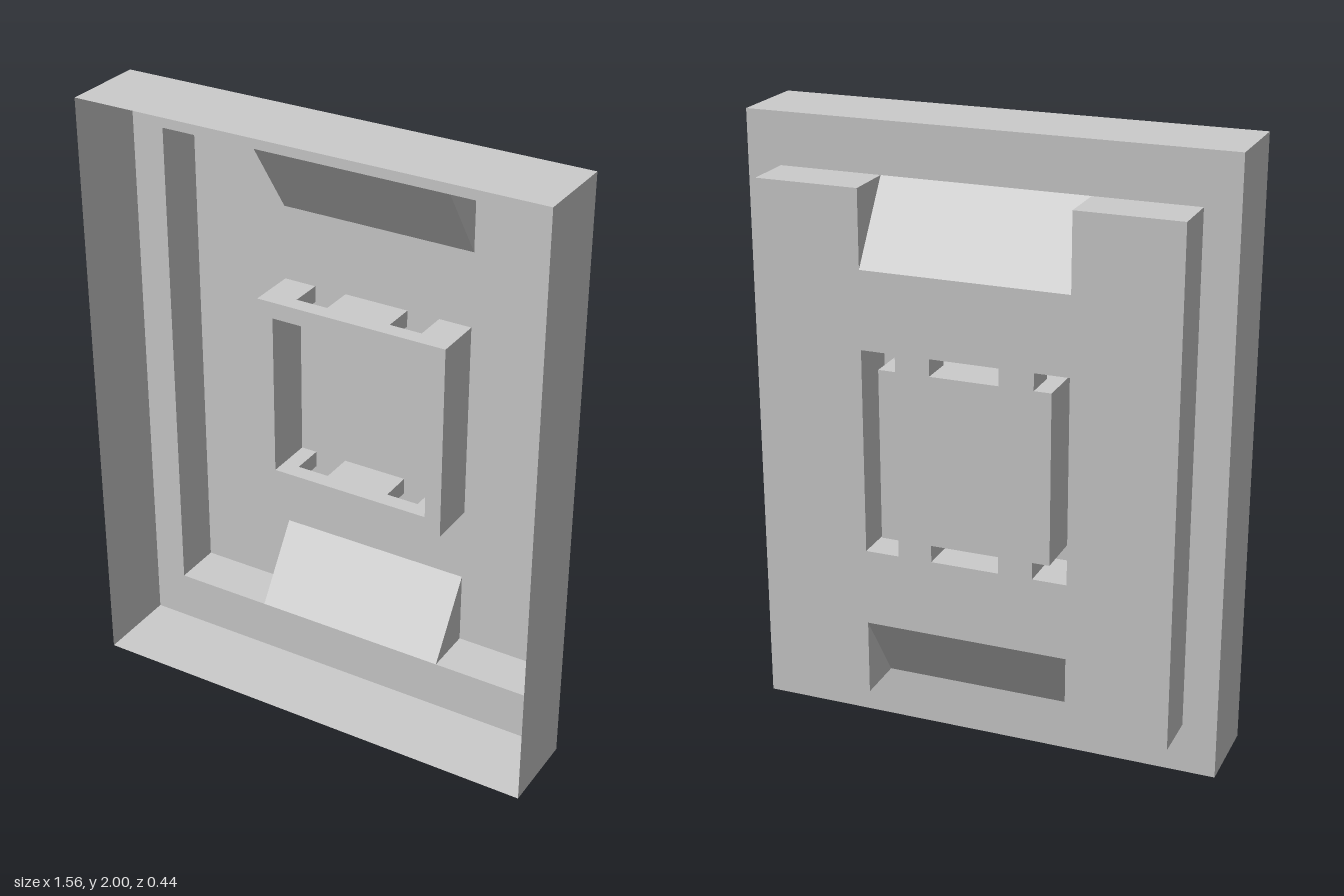
import * as THREE from 'three';

// One unit is 1/18; the panel is centred, then lifted onto y = 0.
const U = 1 / 18;
const RAMP = 10.53; // height where the ramps meet the floor
const material = new THREE.MeshStandardMaterial({
  color: 0xcccccc, flatShading: true, side: THREE.DoubleSide,
});

export function createModel() {
  const model = new THREE.Group();
  const body = new THREE.Group();
  body.name = 'trayPanel';
  body.scale.setScalar(U);
  body.position.y = 1;
  model.add(body);

  const add = (name, geometry) => {
    const mesh = new THREE.Mesh(geometry, material);
    mesh.name = name;
    body.add(mesh);
  };

  const rect = (x0, y0, x1, y1) => [[x0, y0], [x1, y0], [x1, y1], [x0, y1]];
  const mirror = (pts) => pts.map(([x, y]) => [-x, y]).reverse();
  const toPoints = (pts) => pts.map(([x, y]) => new THREE.Vector2(x, y));

  // Flat sheet facing the front, with holes
  const sheet = (name, outline, z, holes = []) => {
    const shape = new THREE.Shape(toPoints(outline));
    holes.forEach((h) => shape.holes.push(new THREE.Path(toPoints(h))));
    add(name, new THREE.ShapeGeometry(shape).translate(0, 0, z));
  };

  // Polygon fan from 3D corners
  const facet = (name, corners) => {
    const pos = [];
    for (let i = 1; i < corners.length - 1; i++) pos.push(...corners[0], ...corners[i], ...corners[i + 1]);
    const g = new THREE.BufferGeometry();
    g.setAttribute('position', new THREE.Float32BufferAttribute(pos, 3));
    g.computeVertexNormals();
    add(name, g);
  };

  // Upright strip along a path, from depth z0 to z1
  const wall = (name, path, z0, z1, closed = true) => {
    const pos = [];
    const n = closed ? path.length : path.length - 1;
    for (let i = 0; i < n; i++) {
      const a = path[i], b = path[(i + 1) % path.length];
      pos.push(...a, z0, ...b, z0, ...b, z1, ...a, z0, ...b, z1, ...a, z1);
    }
    const g = new THREE.BufferGeometry();
    g.setAttribute('position', new THREE.Float32BufferAttribute(pos, 3));
    g.computeVertexNormals();
    add(name, g);
  };

  // Outer frame and the rim around the recess
  const outer = rect(-14, -18, 14, 18);
  wall('outerWall', outer, -1, 4);
  sheet('rim', outer, -1, [rect(-12, -15, 12, 15)]);

  // Slots behind the central frame: two C shapes and two short bars
  const cSlot = [[4, -6], [6, -6], [6, 6], [4, 6], [4, 5], [5, 5], [5, -5], [4, -5]];
  const slots = [cSlot, mirror(cSlot), rect(-2, 5, 2, 6), rect(-2, -6, 2, -5)];

  // Recess floor, cut back at the ramps
  const floor = [
    [-12, -15], [-6, -15], [-6, -RAMP], [6, -RAMP], [6, -15], [12, -15],
    [12, 15], [6, 15], [6, RAMP], [-6, RAMP], [-6, 15], [-12, 15],
  ];
  sheet('recessFloor', floor, -4, slots);

  // Recess side walls
  const side = [[6, -15], [12, -15], [12, 15], [6, 15]];
  wall('recessWall', side, -4, -1, false);
  wall('recessWall', mirror(side), -4, -1, false);

  // Ramps at both ends with their triangular cheeks
  for (const s of [1, -1]) {
    facet('ramp', [[-6 * s, 15 * s, -1], [-6 * s, RAMP * s, -4], [6 * s, RAMP * s, -4], [6 * s, 15 * s, -1]]);
    for (const x of [6, -6]) facet('rampCheek', [[x, 15 * s, -1], [x, 15 * s, -4], [x, RAMP * s, -4]]);
  }

  // Central raised frame, hollow from behind
  const ringOuter = rect(-6, -6, 6, 6), ringInner = rect(-5, -5, 5, 5);
  sheet('frameFace', ringOuter, -1, [ringInner]);
  wall('frameOuterWall', ringOuter, -2, -1);
  wall('frameInnerWall', [...ringInner].reverse(), -2, -1);
  slots.forEach((s) => wall('slotWall', s, -4, -2));

  // Undersides of the bridges between the slots
  for (const y of [5, -6]) for (const x of [2, -4]) sheet('bridgeUnderside', rect(x, y, x + 2, y + 1), -2);

  return model;
}
